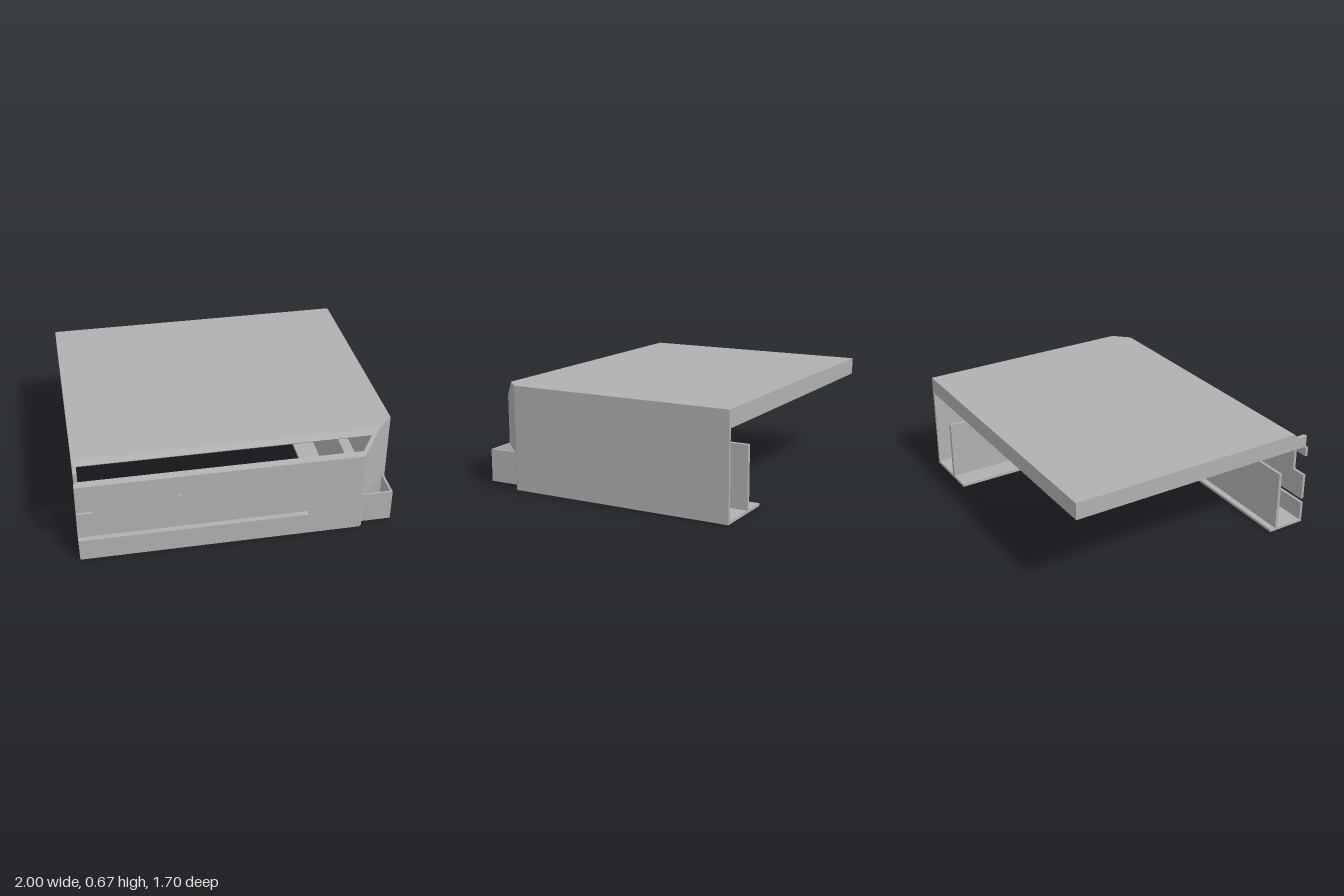
import * as THREE from 'three';

const T = 0.018; // sheet thickness
const steel = new THREE.MeshStandardMaterial({ color: 0xb0b0b0 });
steel.name = 'steel grey';

export function createModel() {
  const model = new THREE.Group();
  model.name = 'sheetMetalHousing';
  const v3 = (x, y, z) => new THREE.Vector3(x, y, z);
  const X = v3(1, 0, 0), Y = v3(0, 1, 0), Z = v3(0, 0, 1);

  // Flat sheet: outline in the plane (u, v), outer face at the origin, thickness going inward
  function sheet(name, points, origin, u, v, hole) {
    const shape = new THREE.Shape(points.map(([a, b]) => new THREE.Vector2(a, b)));
    if (hole) shape.holes.push(new THREE.Path().absarc(hole[0], hole[1], hole[2], 0, Math.PI * 2, true));
    const geo = new THREE.ExtrudeGeometry(shape, { depth: T, bevelEnabled: false, curveSegments: 12 });
    geo.translate(0, 0, -T);
    const n = v3().crossVectors(u, v);
    geo.applyMatrix4(new THREE.Matrix4().makeBasis(u, v, n).setPosition(origin));
    add(name, geo);
  }
  // Box given by its limits on each axis
  function box(name, x0, x1, y0, y1, z0, z1) {
    const geo = new THREE.BoxGeometry(x1 - x0, y1 - y0, z1 - z0);
    geo.translate((x0 + x1) / 2, (y0 + y1) / 2, (z0 + z1) / 2);
    add(name, geo);
  }
  function add(name, geo) {
    const mesh = new THREE.Mesh(geo, steel);
    mesh.name = name;
    model.add(mesh);
  }

  // Top cover with clipped corner
  sheet('topCover', [[-1, -0.73], [0.9, -0.73], [1, -0.63], [1, 0.85], [-1, 0.85]],
    v3(0, 0.67, 0), X, Z.clone().negate());

  // Right wall and the short lips hanging from the cover
  box('rightWall', 1 - T, 1, 0, 0.67, -0.85, 0.63);
  box('backLip', -1, 1, 0.56, 0.67, -0.85, -0.85 + T);
  box('leftLip', -1, -1 + T, 0.56, 0.67, -0.85, 0.73);
  box('leftTab', -1, -0.976, 0.56, 0.637, 0.71, 0.83);

  // Front wall with side notch, long slot and small round hole
  sheet('frontWall', [[-1, 0], [0.78, 0], [0.78, 0.55], [-1, 0.55], [-1, 0.49], [-0.9, 0.49],
    [-0.9, 0.35], [-1, 0.35], [-1, 0.175], [0.445, 0.175], [0.445, 0.145], [-1, 0.145]],
  v3(0, 0, 0.85), X, Y, [-0.367, 0.423, 0.014]);

  // Sloped strip between front and top, with the long opening
  sheet('slopedFrame', [[-1, 0], [0.78, 0], [0.9, 0.17], [-1, 0.17], [-1, 0.127],
    [0.84, 0.127], [0.775, 0.035], [-1, 0.035]],
  v3(0, 0.55, 0.85), X, v3(0, 1, -1).normalize());

  // Diagonal corner wall with the opening behind the guard
  sheet('cornerWall', [[0, 0], [0.025, 0], [0.025, 0.235], [0.285, 0.235], [0.285, 0],
    [0.311, 0], [0.311, 0.67], [0.17, 0.67], [0, 0.55]],
  v3(0.78, 0, 0.85), v3(1, 0, -1).normalize(), Y);

  // L-shaped floor, cut away at the corner
  sheet('floor', [[-1, 0.59], [0.58, 0.59], [0.58, -0.85], [1, -0.85], [1, 0.63], [0.98, 0.65],
    [0.75, 0.65], [0.75, 0.83], [0.8, 0.83], [0.78, 0.85], [-1, 0.85]],
  v3(0, 0, 0), X, Z);

  // Upright ribs on the floor
  box('sideRib', 0.725, 0.75, 0, 0.415, -0.85, 0.65);
  box('frontRib', -1, 0.75, 0, 0.415, 0.63, 0.65);
  box('pocketSide', 0.735, 0.75, 0, 0.24, 0.65, 0.832);
  box('pocketBack', 0.75, 0.975, 0, 0.24, 0.635, 0.65);

  // Right-angled guard standing out at the corner
  box('guardFront', 0.785, 0.987, 0.03, 0.24, 0.823, 0.836);
  box('guardSide', 0.974, 0.987, 0.03, 0.24, 0.638, 0.823);

  return model;
}
